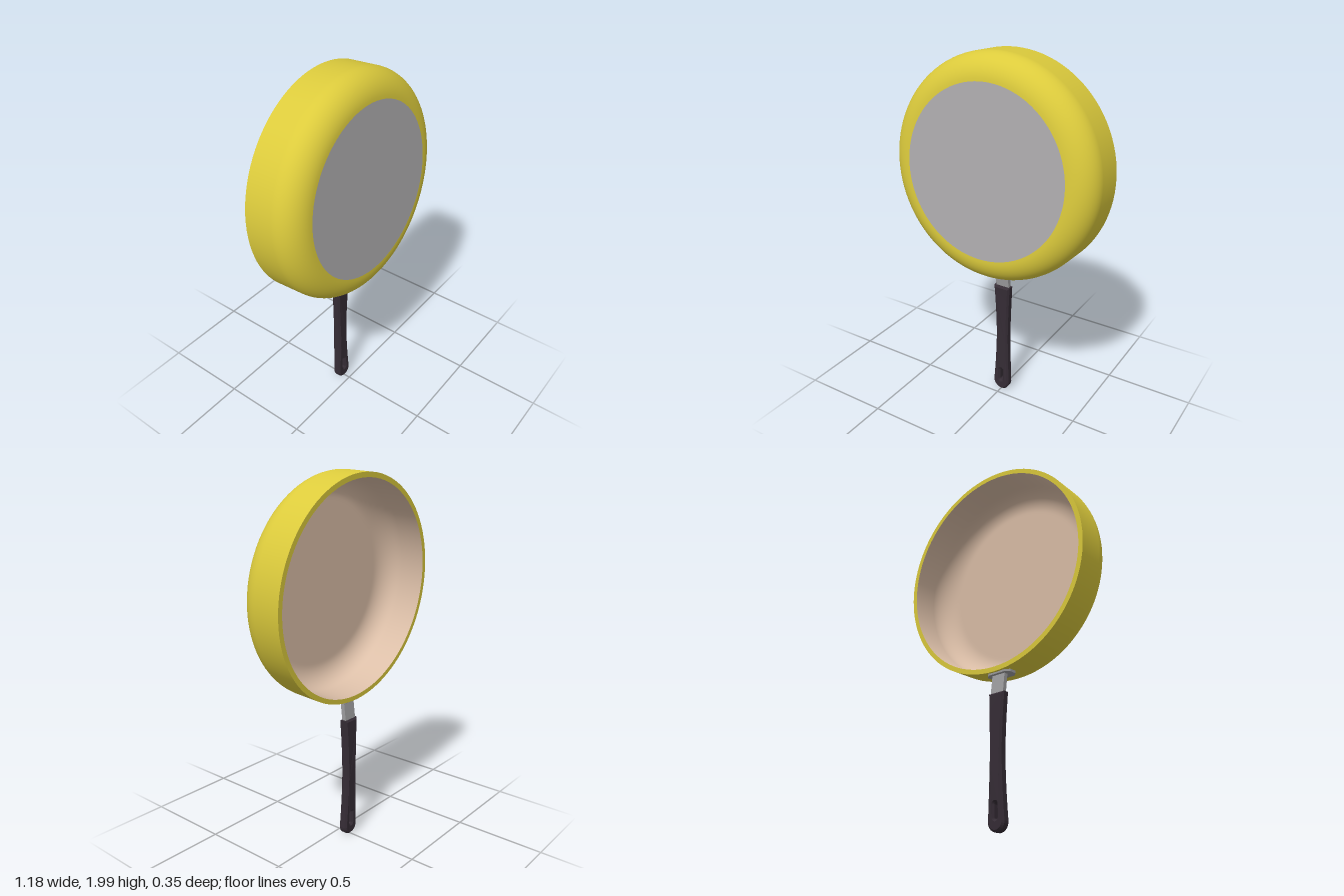
import * as THREE from 'three';

const mat = (name, color, side = THREE.FrontSide) => {
  const m = new THREE.MeshStandardMaterial({ color, side });
  m.name = name;
  return m;
};

export function createModel() {
  const yellow = mat('yellow enamel', 0xdccb3c);
  const lining = mat('beige lining', 0xdcbfa8);
  const steel = mat('base steel', 0xaeacae);
  const bracketSteel = mat('bracket steel', 0x9c9c9e);
  const grip = mat('dark grip', 0x352c35);

  const model = new THREE.Group();
  model.name = 'fryingPan';
  const add = (parent, name, geometry, material) => {
    const mesh = new THREE.Mesh(geometry, material);
    mesh.name = name;
    parent.add(mesh);
    return mesh;
  };

  // Pan body: lathe profiles turned so the base faces +z, tilted slightly upward
  const R = 0.591, BASE_R = 0.455, DEPTH = 0.279, WALL = 0.026;
  const pan = new THREE.Group();
  pan.name = 'panBody';
  pan.position.set(0, 1.4, -0.136);
  pan.rotation.x = -0.065;
  model.add(pan);

  const lathe = (pts) =>
    new THREE.LatheGeometry(pts.map(([r, h]) => new THREE.Vector2(r, h)), 96).rotateX(Math.PI / 2);
  // Rounded corner from the wall (t = 0) to the floor (t = 1)
  const corner = (r, h, a, b) =>
    Array.from({ length: 15 }, (_, i) => {
      const t = (i / 14) * Math.PI / 2;
      return [r - a + a * Math.cos(t), h - b + b * Math.sin(t)];
    });

  add(pan, 'outerWall', lathe([[R, 0], [R, 0.08], ...corner(R, DEPTH, R - BASE_R, 0.125)]), yellow);
  add(pan, 'rim', lathe([[R - WALL, 0], [R, 0]]), yellow);
  add(pan, 'base', lathe([[BASE_R, DEPTH], [0, DEPTH]]), steel);
  const inner = [[R - WALL, 0], [R - WALL, 0.07],
    ...corner(R - WALL, DEPTH - WALL, 0.12, 0.11), [0.43, DEPTH - WALL], [0, DEPTH - WALL]];
  add(pan, 'innerLining', lathe(inner.reverse()), lining);

  // Bracket: chamfered plate against the wall and a flat neck into the grip
  const w = 0.075, d = 0.046, c = 0.025;
  const plate = new THREE.Shape([
    [-w, -d + c], [-w + c, -d], [w - c, -d], [w, -d + c],
    [w, d - c], [w - c, d], [-w + c, d], [-w, d - c],
  ].map(([x, y]) => new THREE.Vector2(x, y)));
  const plateMesh = add(model, 'bracketPlate',
    new THREE.ExtrudeGeometry(plate, { depth: 0.02, bevelEnabled: false })
      .translate(0, 0, -0.01).rotateX(Math.PI / 2), bracketSteel);
  plateMesh.position.set(0, 0.815, -0.038);
  plateMesh.rotation.x = -0.065;
  const neck = add(model, 'neck', new THREE.BoxGeometry(0.08, 0.15, 0.024), bracketSteel);
  neck.position.set(0, 0.75, -0.058);
  neck.rotation.x = 0.12;

  // Grip: waisted outline with a rounded end and a hanging slot
  const bevel = 0.01, END = 0.055;
  const half = (y) => 0.037 + 0.013 * Math.pow(Math.abs(y - 0.38) / 0.325, 1.6) - bevel;
  const outline = [];
  const N = 16;
  for (let i = 0; i <= N; i++) {
    const y = 0.69 + (END - 0.69) * i / N;
    outline.push(new THREE.Vector2(-half(y), y));
  }
  const r = half(END);
  for (let i = 1; i < 12; i++) {
    const a = Math.PI + (i / 12) * Math.PI;
    outline.push(new THREE.Vector2(r * Math.cos(a), END + r * Math.sin(a)));
  }
  for (let i = N; i >= 0; i--) {
    const y = 0.69 + (END - 0.69) * i / N;
    outline.push(new THREE.Vector2(half(y), y));
  }
  const shape = new THREE.Shape(outline);
  const slot = new THREE.Path();
  slot.absarc(0, 0.073, 0.019, Math.PI, Math.PI * 2, false);
  slot.absarc(0, 0.135, 0.019, 0, Math.PI, false);
  slot.closePath();
  shape.holes.push(slot);
  const gripGeo = new THREE.ExtrudeGeometry(shape, {
    depth: 0.03, bevelEnabled: true, bevelThickness: bevel, bevelSize: bevel,
    bevelSegments: 1, curveSegments: 10,
  }).translate(0, 0, -0.015);
  // Gentle backward bow along the length
  const p = gripGeo.attributes.position;
  for (let i = 0; i < p.count; i++) {
    const t = (p.getY(i) - 0.4) / 0.4;
    p.setZ(i, p.getZ(i) - 0.067 + 0.009 * t * t);
  }
  gripGeo.computeVertexNormals();
  add(model, 'handleGrip', gripGeo, grip);

  return model;
}
